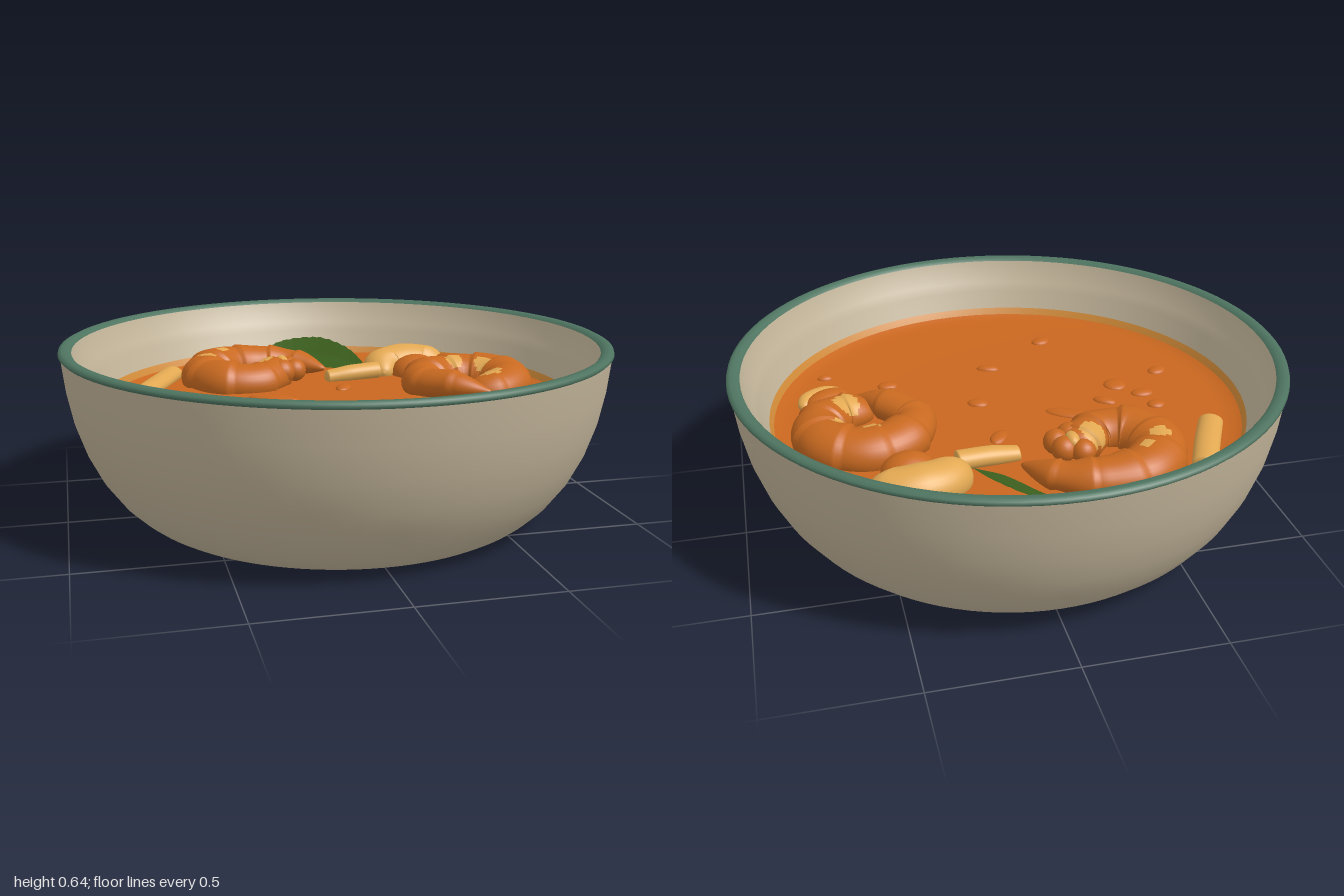
import * as THREE from 'three';

const mat = (name, color, side = THREE.FrontSide) => {
  const m = new THREE.MeshStandardMaterial({ color, side });
  m.name = name;
  return m;
};

export function createModel() {
  const group = new THREE.Group();
  const stoneware = mat('stoneware', 0xc2b499);
  const glaze = mat('green glaze', 0x4e7460);
  const broth = mat('orange broth', 0xc9671f);
  const oil = mat('golden oil', 0xd08a38);
  const shrimpMat = mat('cooked shrimp', 0xc86920);
  const cream = mat('cream flesh', 0xe2a852);
  const green = mat('leaf green', 0x3c601e, THREE.DoubleSide);

  const add = (name, geometry, material) => {
    const mesh = new THREE.Mesh(geometry, material);
    mesh.name = name;
    group.add(mesh);
    return mesh;
  };
  const lathe = (name, pts, material) =>
    add(name, new THREE.LatheGeometry(pts.map(p => new THREE.Vector2(...p)), 96), material);

  // Sweep an oval section along [x, y, z, radius] points. Ripples make shell
  // segments; spots [x, z, radius] put upper faces in the second material.
  function sweep(name, pts, materials, { ripple = 0, bands = 9, flat = 0.85, cap = 0.06, spots = [] } = {}) {
    const curve = new THREE.CatmullRomCurve3(pts.map(p => new THREE.Vector3(p[0], p[1], p[2])));
    const N = 120, M = 32, pos = [], plain = [], spotted = [];
    for (let i = 0; i <= N; i++) {
      const t = i / N, u = t * (pts.length - 1), k = Math.min(Math.floor(u), pts.length - 2);
      const e = Math.min(1, Math.min(t, 1 - t) / cap);
      const f = THREE.MathUtils.smoothstep(u - k, 0, 1);
      let r = THREE.MathUtils.lerp(pts[k][3], pts[k + 1][3], f);
      r *= Math.sqrt(1 - (1 - e) ** 2) * (1 + ripple * (((t * bands) % 1) - 0.5));
      const c = curve.getPoint(t), T = curve.getTangent(t);
      const side = new THREE.Vector3(-T.z, 0, T.x).normalize();
      for (let j = 0; j < M; j++) {
        const a = j / M * Math.PI * 2;
        pos.push(c.x + side.x * r * Math.cos(a), c.y + r * flat * Math.sin(a), c.z + side.z * r * Math.cos(a));
      }
    }
    for (let i = 0; i < N; i++) for (let j = 0; j < M; j++) {
      const a = i * M + j, b = a + M, c = i * M + (j + 1) % M, d = c + M;
      const hit = j < M / 2 && spots.some(s => Math.hypot(pos[a * 3] - s[0], pos[a * 3 + 2] - s[1]) < s[2]);
      (hit ? spotted : plain).push(a, b, c, b, d, c);
    }
    const g = new THREE.BufferGeometry();
    g.setAttribute('position', new THREE.Float32BufferAttribute(pos, 3));
    g.setIndex([...plain, ...spotted]);
    g.addGroup(0, plain.length, 0);
    if (spotted.length) g.addGroup(plain.length, spotted.length, 1);
    g.computeVertexNormals();
    return add(name, g, materials);
  }

  function lump(name, x, y, z, rx, ry, rz, material, turn = 0) {
    const m = add(name, new THREE.SphereGeometry(1, 20, 12), material);
    m.position.set(x, y, z);
    m.scale.set(rx, ry, rz);
    m.rotation.y = turn;
  }

  // Bowl: outside, glazed lip, inside wall
  lathe('bowlOutside', [[0, 0.005], [0.66, 0.005], [0.7, 0.012], [0.735, 0.032], [0.765, 0.055], [0.815, 0.103],
    [0.875, 0.185], [0.922, 0.28], [0.957, 0.385], [0.98, 0.5], [0.993, 0.618]], stoneware);
  lathe('bowlLip', [[0.993, 0.618], [1, 0.625], [0.997, 0.635], [0.985, 0.641], [0.965, 0.639], [0.953, 0.628]], glaze);
  lathe('bowlInside', [[0.953, 0.628], [0.935, 0.575], [0.915, 0.545], [0.9, 0.51], [0.88, 0.46], [0.853, 0.4]], stoneware);

  // Broth and its thin oily edge
  lathe('broth', [[0.859, 0.418], [0.83, 0.406], [0.78, 0.402], [0.4, 0.402], [0, 0.402]], broth);
  lathe('oilEdge', [[0.87, 0.442], [0.863, 0.43], [0.856, 0.417]], oil);

  // Curled shrimp
  sweep('backShrimp', [[0.06, 0.43, -0.44, 0.025], [-0.05, 0.44, -0.56, 0.06], [-0.18, 0.435, -0.6, 0.085],
    [-0.34, 0.43, -0.57, 0.1], [-0.43, 0.425, -0.44, 0.1], [-0.37, 0.425, -0.3, 0.1], [-0.25, 0.425, -0.28, 0.085],
    [-0.17, 0.435, -0.36, 0.08], [-0.13, 0.435, -0.41, 0.06]], [shrimpMat, cream],
  { ripple: 0.13, spots: [[-0.43, -0.47, 0.037], [-0.35, -0.55, 0.025], [-0.21, -0.37, 0.05]] });
  for (const [x, z, r] of [[-0.16, -0.44, 0.042], [-0.1, -0.41, 0.045], [-0.085, -0.355, 0.045], [-0.14, -0.33, 0.05]])
    lump('backShrimpHead', x, 0.45, z, r, r, r, shrimpMat);
  lump('backShrimpFlesh', -0.13, 0.478, -0.4, 0.025, 0.025, 0.04, cream);

  sweep('sideShrimp', [[0.49, 0.42, 0.06, 0.06], [0.61, 0.425, 0.06, 0.085], [0.7, 0.43, -0.04, 0.095],
    [0.68, 0.43, -0.16, 0.1], [0.56, 0.425, -0.23, 0.1], [0.43, 0.43, -0.19, 0.095], [0.36, 0.435, -0.07, 0.075],
    [0.44, 0.45, 0.05, 0.065], [0.56, 0.44, 0.16, 0.02]], [shrimpMat, cream],
  { ripple: 0.11, spots: [[0.53, -0.19, 0.036], [0.635, -0.13, 0.034], [0.59, 0.04, 0.05]] });

  // Mushroom pieces
  sweep('mushroomCap', [[0.29, 0.415, -0.36, 0.055], [0.315, 0.42, -0.46, 0.085], [0.41, 0.425, -0.505, 0.09],
    [0.51, 0.42, -0.49, 0.085], [0.55, 0.41, -0.42, 0.05]], cream, { cap: 0.2, flat: 0.9 });
  lump('mushroomUnderside', 0.43, 0.41, -0.38, 0.1, 0.075, 0.085, shrimpMat);
  sweep('mushroomSlice', [[0.57, 0.415, 0.23, 0.025], [0.65, 0.42, 0.25, 0.032], [0.72, 0.42, 0.21, 0.032],
    [0.74, 0.415, 0.15, 0.025]], cream, { cap: 0.15 });
  lump('mushroomSliceTop', 0.645, 0.415, 0.19, 0.095, 0.045, 0.06, shrimpMat, 0.45);

  // Pale stalks
  sweep('leftStalk', [[-0.7, 0.405, -0.26, 0.045], [-0.625, 0.41, -0.41, 0.046], [-0.55, 0.415, -0.57, 0.045]],
    cream, { cap: 0.03, flat: 0.7 });
  sweep('middleStalk', [[0.04, 0.415, -0.345, 0.033], [0.15, 0.425, -0.355, 0.04], [0.27, 0.43, -0.37, 0.04]],
    cream, { cap: 0.04 });

  // Leaf: a dished sheet between its two edge curves, with a toothed outer edge
  const edge = pts => new THREE.CatmullRomCurve3(pts.map(p => new THREE.Vector3(...p)));
  const outer = edge([[-0.17, 0.43, -0.78], [-0.06, 0.48, -0.825], [0.09, 0.505, -0.77], [0.19, 0.485, -0.61], [0.23, 0.44, -0.44]]);
  const inner = edge([[-0.17, 0.42, -0.75], [-0.09, 0.41, -0.7], [0.01, 0.41, -0.62], [0.13, 0.42, -0.48], [0.21, 0.425, -0.43]]);
  const leaf = new THREE.PlaneGeometry(1, 1, 60, 10), lp = leaf.attributes.position;
  for (let i = 0; i < lp.count; i++) {
    const u = lp.getX(i) + 0.5, v = lp.getY(i) + 0.5;
    const tooth = 0.05 * ((u * 15) % 1) * v ** 4;
    const p = inner.getPoint(u).lerp(outer.getPoint(u), v - tooth);
    p.y -= 0.015 * (1 - Math.abs(2 * v - 1)) * Math.sin(Math.PI * u);
    lp.setXYZ(i, p.x, p.y, p.z);
  }
  leaf.computeVertexNormals();
  add('leaf', leaf, green);

  // Small bits floating in the broth: x, z, half length, half width, turn
  for (const [x, z, a, b, turn] of [[-0.55, -0.09, 0.035, 0.03, 0], [-0.53, 0.01, 0.045, 0.03, 0], [-0.45, 0.1, 0.045, 0.045, 0],
    [-0.65, 0.18, 0.04, 0.03, 0.4], [-0.37, -0.02, 0.045, 0.025, -0.6], [-0.22, -0.09, 0.1, 0.035, -0.5],
    [0.1, 0.07, 0.04, 0.03, -0.4], [0, 0.35, 0.045, 0.025, -0.3], [-0.27, 0.55, 0.04, 0.03, 0.3], [0.08, -0.2, 0.05, 0.03, 1],
    [0.41, 0.29, 0.04, 0.03, 0], [0.64, 0.41, 0.03, 0.02, 0], [0.4, -0.63, 0.035, 0.02, 0], [0.38, 0.12, 0.04, 0.03, 0.5]])
    lump('floatingBit', x, 0.401, z, a, 0.015, b, broth, turn);

  return group;
}
